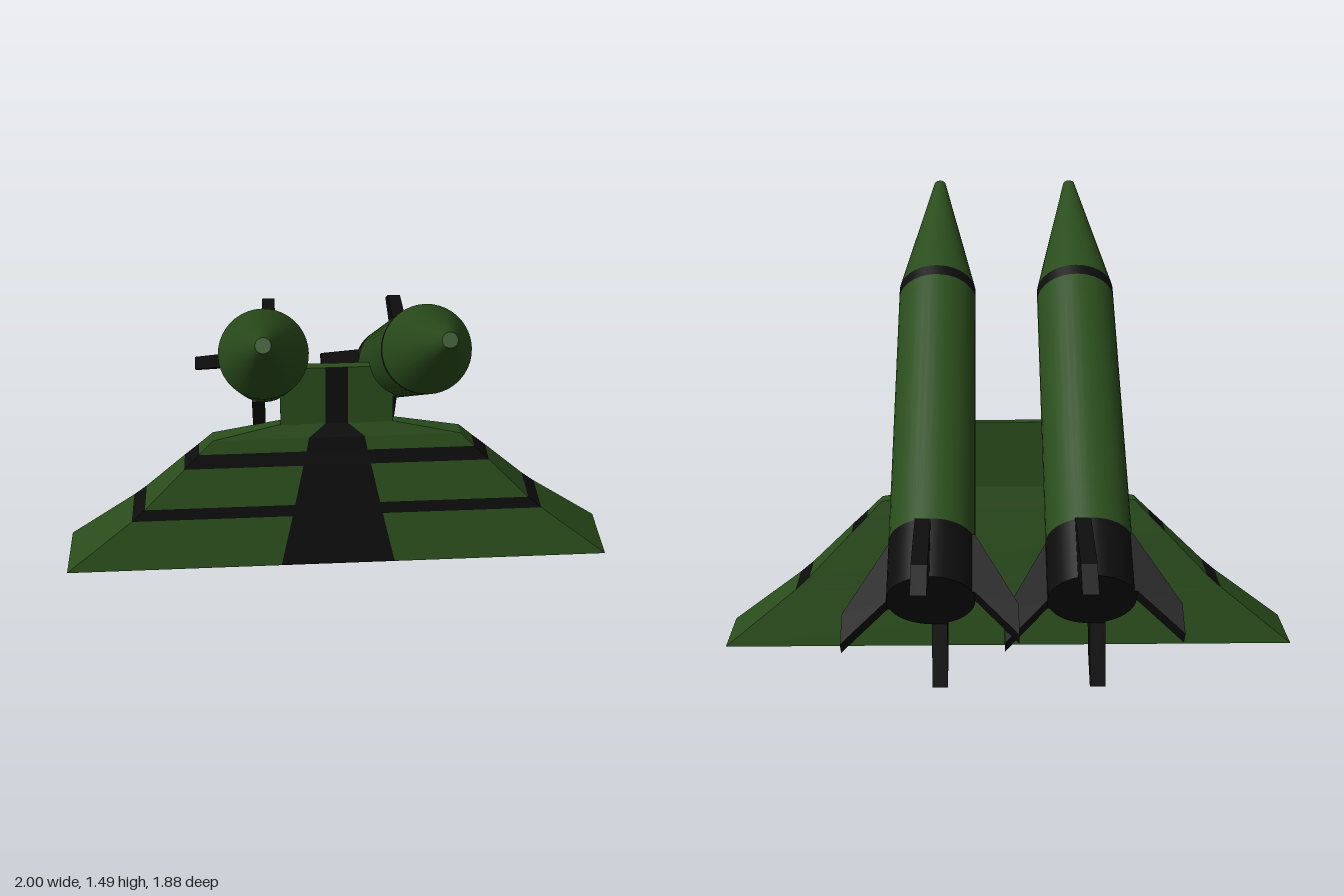
import * as THREE from 'three';

const green = new THREE.MeshStandardMaterial({ color: 0x2a4d1c });
const black = new THREE.MeshStandardMaterial({ color: 0x0d0d0d });

function add(parent, name, geometry, material) {
  const mesh = new THREE.Mesh(geometry, material);
  mesh.name = name;
  parent.add(mesh);
  return mesh;
}

// Launch stand lofted upward from rectangular sections, with painted bands
function createStand() {
  const stand = new THREE.Group();
  stand.name = 'launchStand';
  // y, half width, front z, back z, half width of the centre strip
  const levels = [
    [0, 1, 0.085, -0.153, 0.21],
    [0.2, 0.75, 0.05, -0.116, 0.165],
    [0.245, 0.7, 0.042, -0.108, 0.155],
    [0.4, 0.55, 0.014, -0.08, 0.122],
    [0.455, 0.495, 0.004, -0.07, 0.11],
    [0.508, 0.444, -0.005, -0.06, 0.1],
    [0.558, 0.21, -0.02, -0.05, 0.04],
    [0.558, 0.2, -0.02, -0.05, 0.04],
    [0.793, 0.2, -0.02, -0.05, 0.04],
  ];
  const paint = { green: [], black: [] };
  const quad = (color, a, b, c, d) => paint[color].push(...a, ...b, ...c, ...a, ...c, ...d);

  for (let i = 0; i < levels.length - 1; i++) {
    const [y0, w0, f0, b0, s0] = levels[i];
    const [y1, w1, f1, b1, s1] = levels[i + 1];
    const band = i === 1 || i === 3 ? 'black' : 'green';
    // front: side panel, centre strip, side panel
    quad(band, [-w0, y0, f0], [-s0, y0, f0], [-s1, y1, f1], [-w1, y1, f1]);
    quad('black', [-s0, y0, f0], [s0, y0, f0], [s1, y1, f1], [-s1, y1, f1]);
    quad(band, [s0, y0, f0], [w0, y0, f0], [w1, y1, f1], [s1, y1, f1]);
    // sloping ends
    quad(band, [w0, y0, f0], [w0, y0, b0], [w1, y1, b1], [w1, y1, f1]);
    quad(band, [-w0, y0, b0], [-w0, y0, f0], [-w1, y1, f1], [-w1, y1, b1]);
    // plain back
    quad('green', [w0, y0, b0], [-w0, y0, b0], [-w1, y1, b1], [w1, y1, b1]);
  }
  // underside and top
  const [yb, wb, fb, bb] = levels[0];
  const [yt, wt, ft, bt] = levels[levels.length - 1];
  quad('green', [-wb, yb, bb], [wb, yb, bb], [wb, yb, fb], [-wb, yb, fb]);
  quad('green', [-wt, yt, ft], [wt, yt, ft], [wt, yt, bt], [-wt, yt, bt]);

  for (const [color, material] of [['green', green], ['black', black]]) {
    const geometry = new THREE.BufferGeometry();
    geometry.setAttribute('position', new THREE.Float32BufferAttribute(paint[color], 3));
    geometry.computeVertexNormals();
    add(stand, color === 'green' ? 'standBody' : 'standStripes', geometry, material);
  }
  return stand;
}

// Rocket along local y, with its origin where the hull meets the tail
function createRocket() {
  const rocket = new THREE.Group();
  rocket.name = 'rocket';
  const R = 0.14, hull = 1.117, stripe = 0.045, nose = 0.582, tail = 0.217;

  const section = (name, top, bottom, y0, length, material, open) => {
    const geometry = new THREE.CylinderGeometry(top, bottom, length, 40, 1, open);
    add(rocket, name, geometry, material).position.y = y0 + length / 2;
  };
  section('hull', R, R, 0, hull - stripe, green, true);
  section('noseStripe', R, R, hull - stripe, stripe, black, true);
  section('noseCone', 0.022, R, hull, nose, green, false);
  section('tailSection', R, R, -tail, tail, black, false);

  // four swept fins, each set to one side of the axis
  const outline = new THREE.Shape([
    [0.1, 0], [0.139, 0], [0.275, -0.263], [0.275, -0.372], [0.139, -tail], [0.1, -tail],
  ].map(([x, y]) => new THREE.Vector2(x, y)));
  const finGeometry = new THREE.ExtrudeGeometry(outline, { depth: 0.05, bevelEnabled: false });
  for (let i = 0; i < 4; i++) {
    add(rocket, 'tailFin', finGeometry, black).rotation.y = i * Math.PI / 2;
  }
  return rocket;
}

export function createModel() {
  const model = new THREE.Group();
  model.name = 'rocketLauncher';
  model.add(createStand());
  // rockets raised 34 degrees above level
  for (const side of [-1, 1]) {
    const rocket = createRocket();
    rocket.position.set(side * 0.253, 0.52, -0.482);
    rocket.rotation.x = THREE.MathUtils.degToRad(90 - 34);
    model.add(rocket);
  }
  return model;
}
